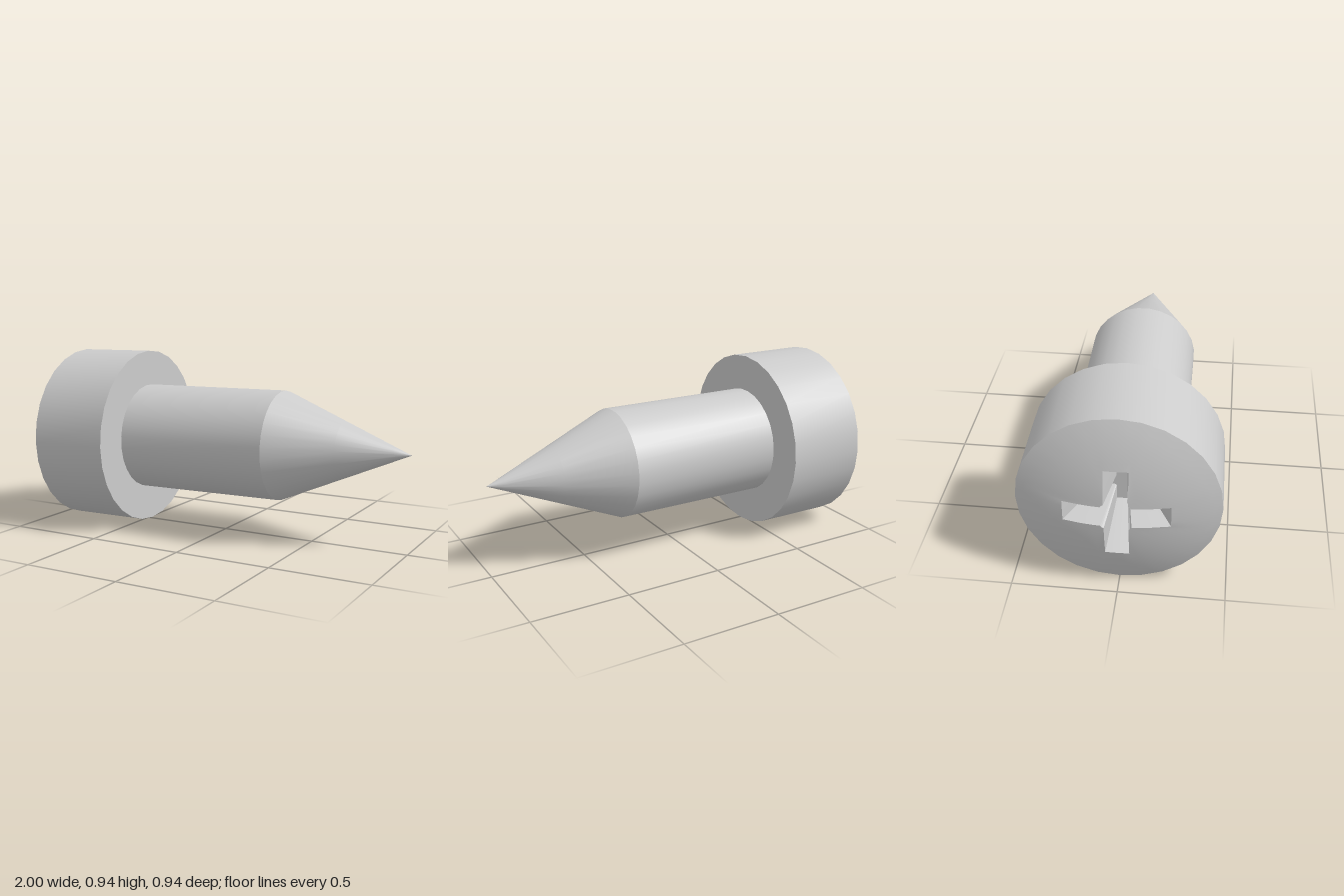
import * as THREE from 'three';
import { toCreasedNormals } from 'three/addons/utils/BufferGeometryUtils.js';

const SIDES = 28;
const HEAD_R = 0.466, SHAFT_R = 0.281;
const SLOT_HALF = 0.055;
const STEP = Math.PI / SIDES; // half a side

// Distance from the axis to the cross outline at a ray (two rays per side)
function crossRadius(i) {
  let k = i % 14;
  if (k > 7) k = 14 - k; // fold into one eighth of the cross
  if (k <= 2) return SLOT_HALF / Math.tan(2 * STEP) / Math.cos(k * STEP);
  return (SLOT_HALF * (k === 7 ? 1.15 : 1)) / Math.sin(k * STEP);
}

// Distance to the faceted rim, so the face meets the side wall exactly
const rimRadius = (i) => (i % 2 ? HEAD_R * Math.cos(STEP) : HEAD_R);

// Slightly domed face of the head
const domeX = (r) => -1 + 0.1 * (r / HEAD_R) ** 2;

// Lathed part with its axis along x; profile entries are [x, radius]
function lathe(profile, segments, phase = 0) {
  const pts = profile.map(([x, r]) => new THREE.Vector2(r, x));
  return new THREE.LatheGeometry(pts, segments, phase).rotateZ(-Math.PI / 2);
}

// Domed face with a tapered cross recess: rings run from the recess floor to the rim
function headFaceGeometry() {
  const rings = [
    () => [-0.75, 0],
    (i) => [-0.75, crossRadius(i) * 0.45],
    (i) => [domeX(crossRadius(i)), crossRadius(i)],
  ];
  for (let k = 1; k <= 6; k++) {
    rings.push((i) => {
      const r = THREE.MathUtils.lerp(crossRadius(i), rimRadius(i), k / 6);
      return [k === 6 ? -0.9 : domeX(r), r];
    });
  }
  const geo = lathe(rings.map((_, j) => [j, 1]), SIDES * 2);
  const pos = geo.attributes.position;
  for (let i = 0; i <= SIDES * 2; i++) {
    rings.forEach((ring, j) => {
      const [x, r] = ring(i);
      const a = i * STEP;
      pos.setXYZ(i * rings.length + j, x, -r * Math.sin(a), r * Math.cos(a));
    });
  }
  return geo;
}

export function createModel() {
  const material = new THREE.MeshStandardMaterial({ color: 0xcccccc });
  const screw = new THREE.Group();
  screw.name = 'screw';

  const add = (name, geometry) => {
    const mesh = new THREE.Mesh(toCreasedNormals(geometry, 0.35), material);
    mesh.name = name;
    screw.add(mesh);
  };

  add('headFace', headFaceGeometry());
  // Side wall and flat underside of the head
  add('headRim', lathe([[-0.9, HEAD_R], [-0.48, HEAD_R], [-0.48, 0.2]], SIDES));
  // Shank and pointed tip
  add('shank', lathe([[-0.49, SHAFT_R], [0.33, SHAFT_R]], SIDES, STEP));
  add('tip', lathe([[0.33, SHAFT_R], [0.66, SHAFT_R * 0.507], [0.92, 0.0335], [1, 0]], SIDES, STEP));

  // The screw lies very slightly tilted
  screw.rotation.set(0, 0.01, 0.01);
  screw.position.set(0, 0.477, -0.01);

  const model = new THREE.Group();
  model.name = 'model';
  model.add(screw);
  return model;
}
